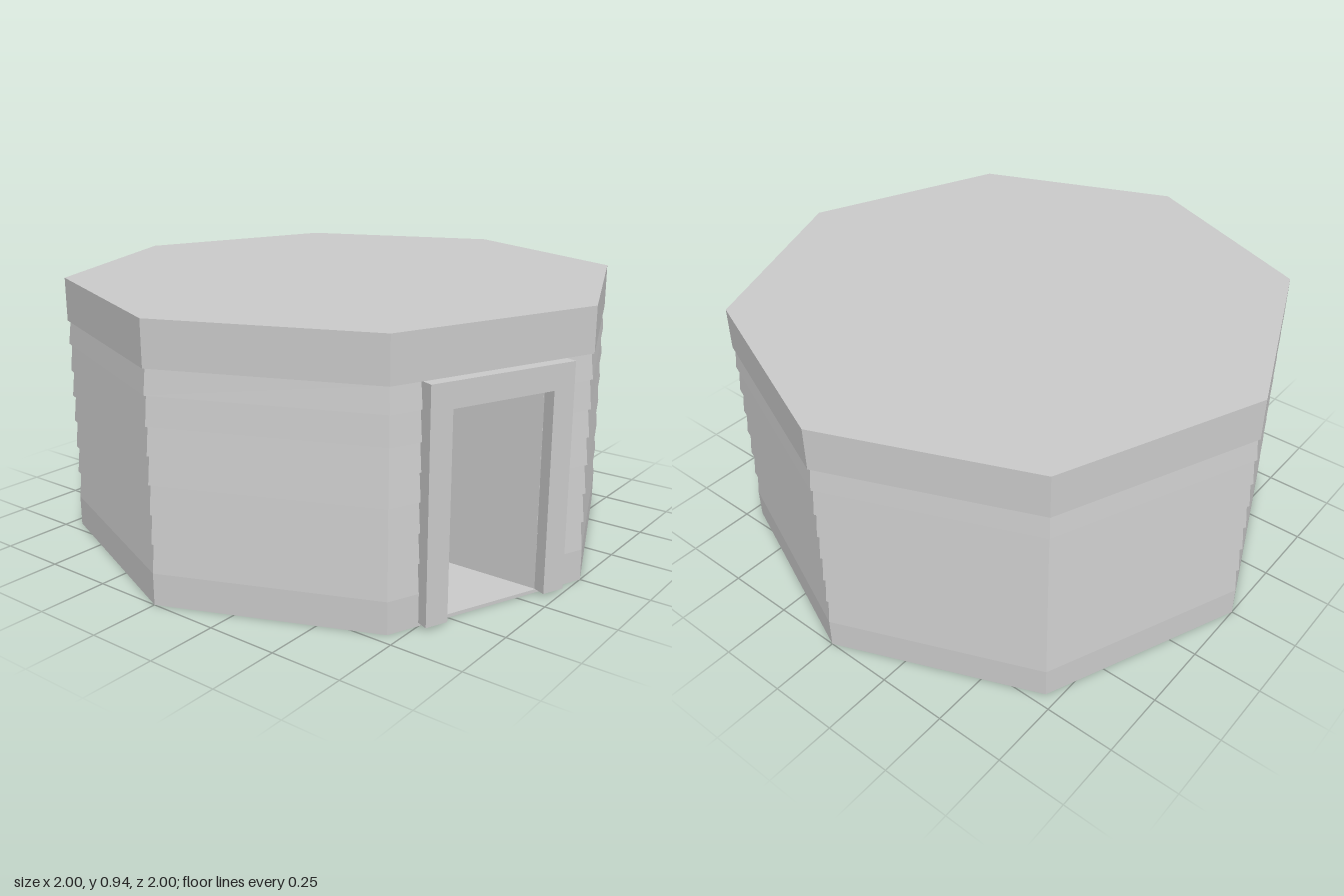
import * as THREE from 'three';

const SIDES = 8, DOOR_FACE = 7, SILL = 0.012, DOOR_TOP = 0.7, HALF_DOOR = 0.19;
const material = new THREE.MeshStandardMaterial({ color: 0xcccccc, flatShading: true, side: THREE.DoubleSide });

// Builds one geometry from four-cornered faces
function quadGeometry(quads) {
  const pos = [];
  for (const [a, b, c, d] of quads) for (const p of [a, b, c, a, c, d]) pos.push(...p);
  const g = new THREE.BufferGeometry();
  g.setAttribute('position', new THREE.Float32BufferAttribute(pos, 3));
  g.computeVertexNormals();
  return g;
}

function addMesh(group, name, geometry) {
  const mesh = new THREE.Mesh(geometry, material);
  mesh.name = name;
  group.add(mesh);
  return mesh;
}

// Point on octagon side k, a fraction t along it
function ringPoint(k, t, r, y) {
  const a = (k * 2 * Math.PI) / SIDES, b = ((k + 1) * 2 * Math.PI) / SIDES;
  return [
    r * THREE.MathUtils.lerp(Math.sin(a), Math.sin(b), t), y,
    r * THREE.MathUtils.lerp(Math.cos(a), Math.cos(b), t),
  ];
}

// Sweeps a [radius, height] profile round the octagon, leaving the doorway open
function octagonShell(profile) {
  const quads = [];
  const gap = HALF_DOOR / (2 * Math.sin(Math.PI / SIDES));
  for (let i = 0; i < profile.length - 1; i++) {
    const [r0, y0] = profile[i], [r1, y1] = profile[i + 1];
    for (let k = 0; k < SIDES; k++) {
      const open = k === DOOR_FACE && y0 >= SILL && y1 <= DOOR_TOP;
      const spans = open ? [[0, 0.5 - gap], [0.5 + gap, 1]] : [[0, 1]];
      for (const [s, e] of spans) {
        quads.push([ringPoint(k, s, r0, y0), ringPoint(k, e, r0, y0), ringPoint(k, e, r1, y1), ringPoint(k, s, r1, y1)]);
      }
    }
  }
  return quadGeometry(quads);
}

export function createModel() {
  const model = new THREE.Group();
  model.name = 'octagonalHut';

  // Walls of overlapping boards, each leaning in towards its top
  const courses = [0.11, 0.21, 0.31, 0.41, 0.505, 0.6, DOOR_TOP, 0.785];
  const profile = [[0, 0], [1, 0], [1, SILL], [1, courses[0]]];
  for (let i = 1; i < courses.length; i++) profile.push([0.99, courses[i]], [1, courses[i]]);
  addMesh(model, 'boardedWalls', octagonShell(profile));

  // Flat roof slab
  addMesh(model, 'roof', octagonShell([[1, 0.785], [1, 0.94], [0, 0.94]]));

  // Door frame standing proud of the wall
  const w = 0.27, top = 0.785;
  const shape = new THREE.Shape([
    [-w, SILL], [-HALF_DOOR, SILL], [-HALF_DOOR, DOOR_TOP], [HALF_DOOR, DOOR_TOP],
    [HALF_DOOR, SILL], [w, SILL], [w, top], [-w, top],
  ].map(([x, y]) => new THREE.Vector2(x, y)));
  const frameGeometry = new THREE.ExtrudeGeometry(shape, { depth: 0.052, bevelEnabled: false });
  frameGeometry.translate(0, 0, 0.913);
  addMesh(model, 'doorFrame', frameGeometry).rotation.y = -Math.PI / SIDES;

  // Entrance passage running straight back from the doorway
  const turn = -Math.PI / SIDES, apothem = 0.92, backZ = 0;
  const edge = (u) => [apothem * Math.sin(turn) + u * Math.cos(turn), apothem * Math.cos(turn) - u * Math.sin(turn)];
  const [lx, lz] = edge(-HALF_DOOR), [rx, rz] = edge(HALF_DOOR);
  const corners = (y) => [[lx, y, lz], [rx, y, rz], [rx, y, backZ], [lx, y, backZ]];
  const lo = corners(SILL), hi = corners(DOOR_TOP);
  addMesh(model, 'entrancePassage', quadGeometry([
    [lo[0], lo[3], hi[3], hi[0]].reverse(),
    [lo[3], lo[2], hi[2], hi[3]],
    [lo[2], lo[1], hi[1], hi[2]],
    hi.slice().reverse(),
  ]));
  addMesh(model, 'floor', quadGeometry([lo]));

  return model;
}
